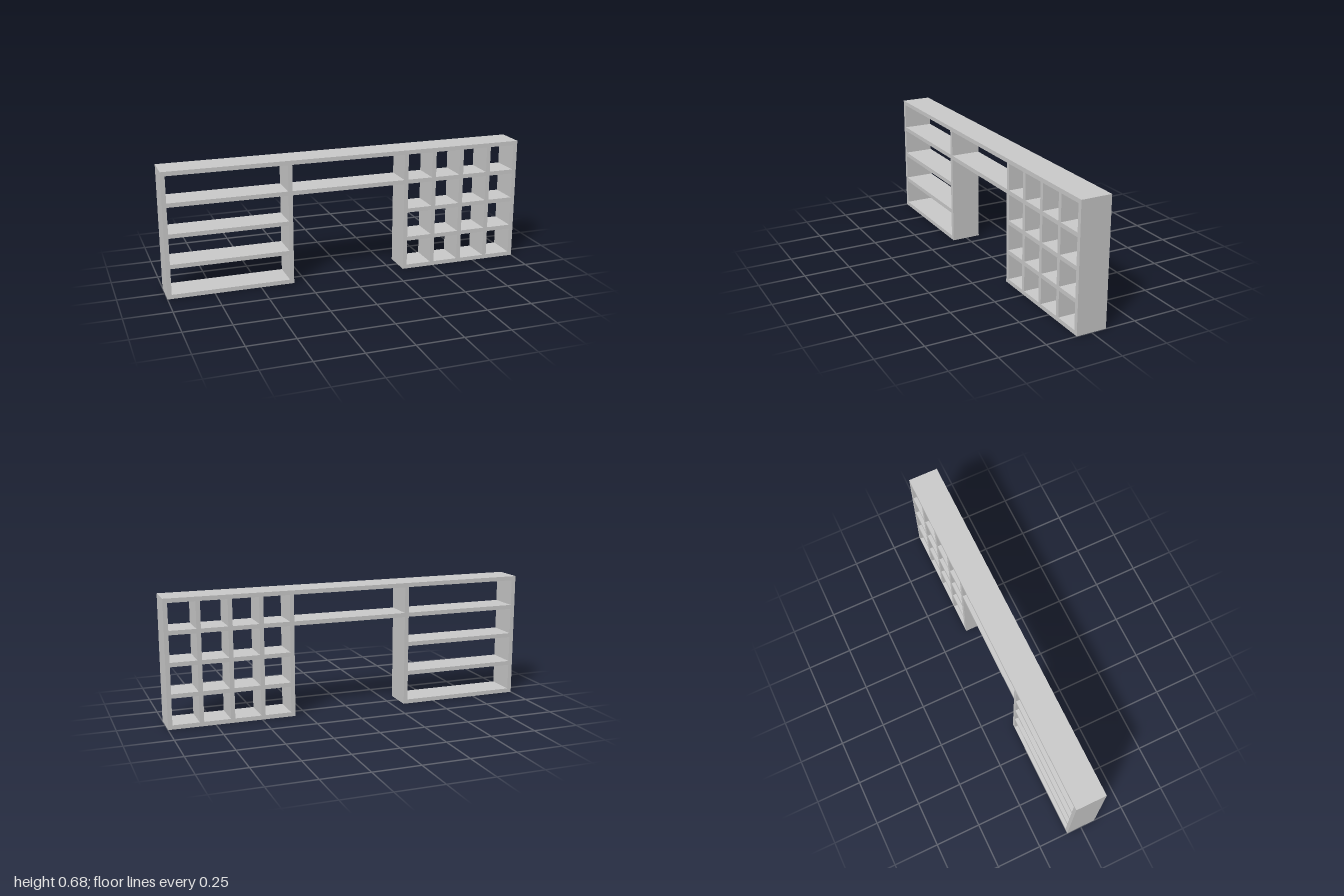
import * as THREE from 'three';

const H = 0.683;               // overall height
const D = 0.165;               // depth
const T = 0.023;               // board thickness
const ROW = (H - T) / 4;       // shelf spacing
const INNER = 0.317;           // aisle-side face of the inner uprights

export function createModel() {
  const model = new THREE.Group();
  const material = new THREE.MeshStandardMaterial({ color: 0xcccccc });

  // Board given by its left/right and bottom/top limits
  const board = (name, x0, x1, y0, y1) => {
    const mesh = new THREE.Mesh(new THREE.BoxGeometry(x1 - x0, y1 - y0, D), material);
    mesh.name = name;
    mesh.position.set((x0 + x1) / 2, (y0 + y1) / 2, 0);
    model.add(mesh);
  };

  // Top board over the whole width
  board('topBoard', -1, 1, H - T, H);

  // Both cabinets: outer and inner uprights with shelves between them
  for (const side of [-1, 1]) {
    const prefix = side < 0 ? 'right' : 'left';
    const span = (name, a, b, y0, y1) =>
      board(prefix + name, Math.min(a * side, b * side), Math.max(a * side, b * side), y0, y1);
    span('OuterUpright', 1 - T, 1, 0, H - T);
    span('InnerUpright', INNER, INNER + T, 0, H - T);
    for (let r = 0; r < 4; r++) span('Shelf' + r, INNER + T, 1 - T, r * ROW, r * ROW + T);
  }

  // Bridge shelf joining the cabinets
  board('bridgeShelf', -INNER, INNER, 3 * ROW, 3 * ROW + T);

  // Short dividers splitting the left cabinet into a 4 x 4 grid
  const column = (1 - T - INNER) / 4;
  for (let c = 1; c < 4; c++) {
    for (let r = 0; r < 4; r++) {
      const x = INNER + c * column;
      board('cubbyDivider', x, x + T, r * ROW + T, (r + 1) * ROW);
    }
  }

  return model;
}
